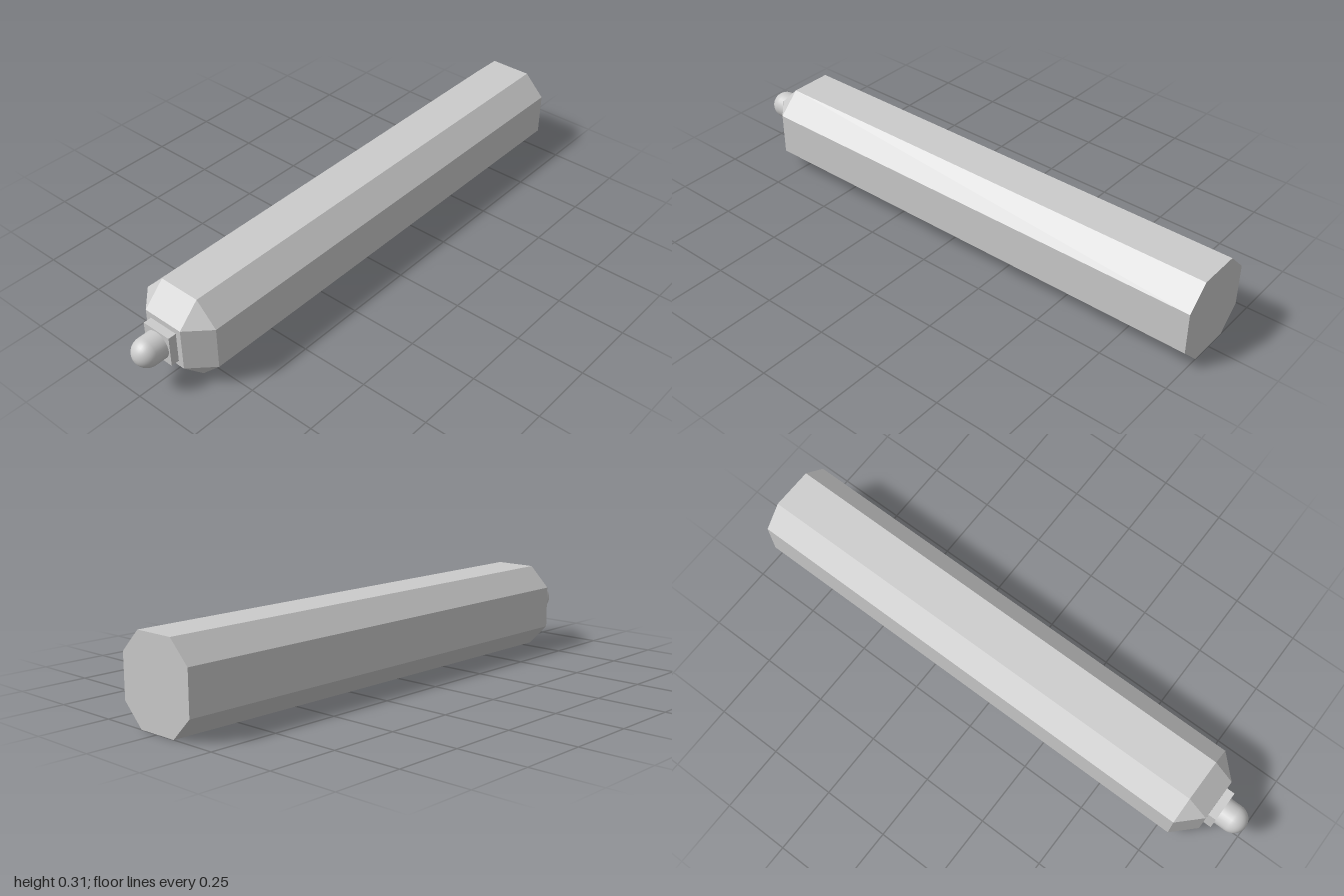
import * as THREE from 'three';

export function createModel() {
  const group = new THREE.Group();
  const R = 0.156, H = 0.078;           // body half-width and half side
  const flat = new THREE.MeshStandardMaterial({ color: 0xcccccc, flatShading: true });
  const smooth = new THREE.MeshStandardMaterial({ color: 0xcccccc });

  const add = (name, geometry, material, x) => {
    const mesh = new THREE.Mesh(geometry, material);
    mesh.name = name;
    mesh.position.set(x, R, 0);
    group.add(mesh);
  };

  // Chamfered octagonal cross-section, and the square it tapers to
  const octagon = [[R, -H], [R, H], [H, R], [-H, R], [-R, H], [-R, -H], [-H, -R], [H, -R]];
  const square = octagon.map(([y, z]) => [Math.sign(y) * H, Math.sign(z) * H]);
  const rings = [[-0.875, square], [-0.797, octagon], [1, octagon]];

  // Body: loft through the rings, then close both ends
  const pos = [];
  const tri = (...pts) => pts.forEach((p) => pos.push(...p));
  const point = (r, i) => [rings[r][0], ...rings[r][1][i % 8]];
  for (let i = 0; i < 8; i++) {
    for (let r = 0; r < 2; r++) {
      const a = point(r, i), b = point(r, i + 1), c = point(r + 1, i + 1), d = point(r + 1, i);
      if (r > 0 || i % 2 === 0) tri(a, b, c);   // taper corners are single triangles
      tri(a, c, d);
    }
    tri([1, 0, 0], point(2, i), point(2, i + 1));
    if (i % 2 === 0) tri([-0.875, 0, 0], point(0, i + 1), point(0, i));
  }
  const body = new THREE.BufferGeometry();
  body.setAttribute('position', new THREE.Float32BufferAttribute(pos, 3));
  body.computeVertexNormals();
  add('body', body, flat, 0);

  // Square collar on the tapered end
  add('collar', new THREE.BoxGeometry(0.04, 0.114, 0.114), flat, -0.885);

  // Round-nosed tip: short stem with a domed end
  const profile = [new THREE.Vector2(0.051, -0.05)];
  for (let i = 0; i <= 10; i++) {
    const a = (i / 10) * Math.PI / 2;
    profile.push(new THREE.Vector2(0.051 * Math.cos(a), 0.051 * Math.sin(a)));
  }
  const tip = new THREE.LatheGeometry(profile, 28);
  tip.rotateZ(Math.PI / 2);
  add('tip', tip, smooth, -0.949);

  return group;
}
